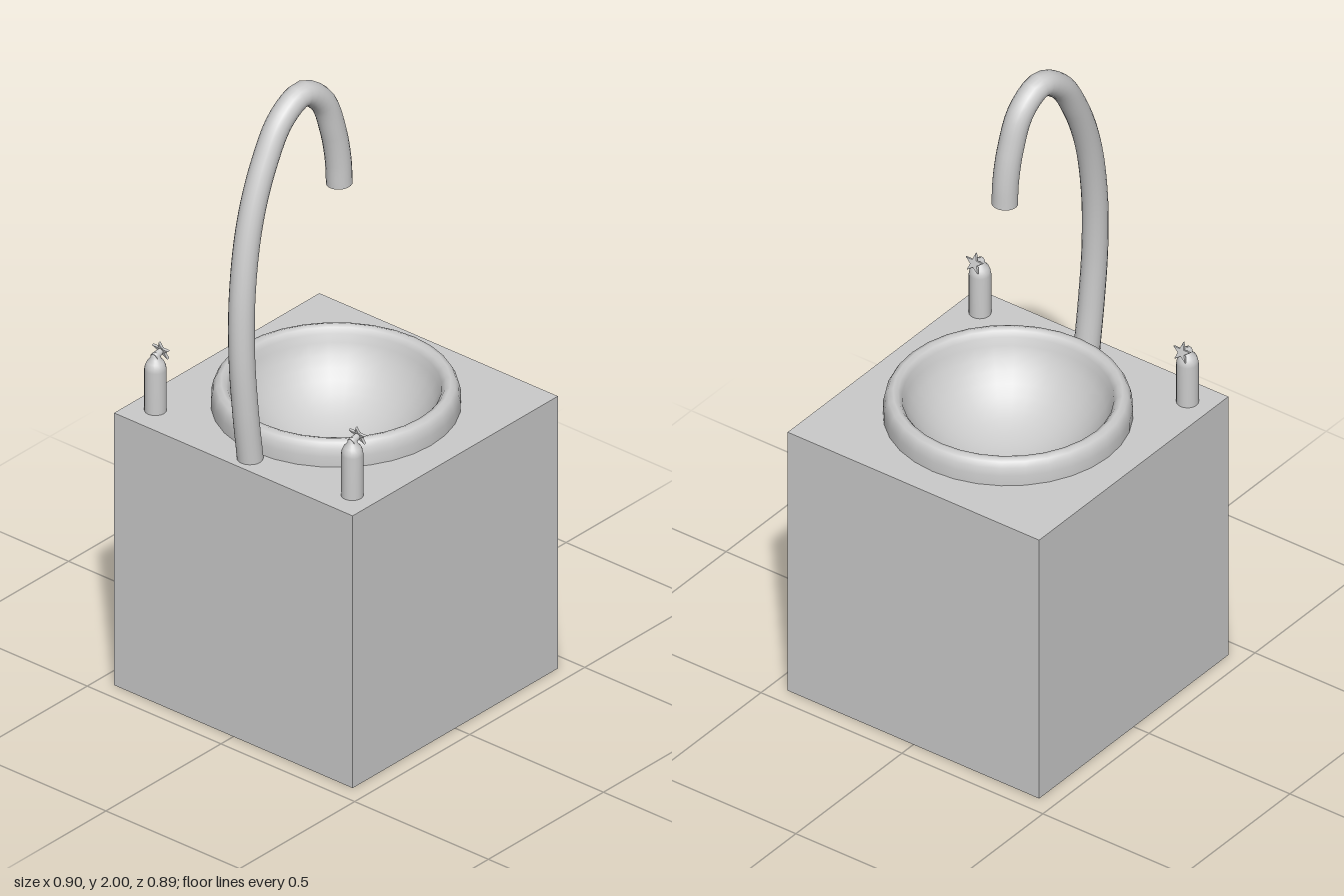
import * as THREE from 'three';

const SIZE = 0.892; // cabinet cube edge, also the counter height

export function createModel() {
  const group = new THREE.Group();
  const solid = new THREE.MeshStandardMaterial({ color: 0xcccccc });
  const thin = new THREE.MeshStandardMaterial({ color: 0xcccccc, side: THREE.DoubleSide });

  const add = (parent, name, geometry, material = solid) => {
    const mesh = new THREE.Mesh(geometry, material);
    mesh.name = name;
    parent.add(mesh);
    return mesh;
  };

  // Cabinet: a cube without its top face (the third group of six indices)
  const box = new THREE.BoxGeometry(SIZE, SIZE, SIZE);
  const index = Array.from(box.index.array);
  index.splice(12, 6);
  box.setIndex(index);
  box.clearGroups();
  add(group, 'cabinet', box, thin).position.y = SIZE / 2;

  // Countertop with a round cut-out under the basin rim
  const h = SIZE / 2;
  const top = new THREE.Shape([[-h, -h], [h, -h], [h, h], [-h, h]].map(p => new THREE.Vector2(...p)));
  top.holes.push(new THREE.Path().absarc(0, 0, 0.335, 0, Math.PI * 2, true));
  const counter = add(group, 'countertop', new THREE.ShapeGeometry(top, 32), thin);
  counter.rotation.x = -Math.PI / 2;
  counter.position.y = SIZE;

  // Basin: spherical bowl rising into a rounded rim
  const profile = [];
  for (let i = 0; i <= 10; i++) {
    const a = (i / 10) * 1.2;
    profile.push(new THREE.Vector2(0.295 * Math.sin(a) / Math.sin(1.2), 0.925 - 0.19 * (Math.cos(a) - Math.cos(1.2)) / (1 - Math.cos(1.2))));
  }
  [[0.301, 0.95], [0.312, 0.965], [0.326, 0.97], [0.341, 0.964], [0.35, 0.948], [0.355, 0.925], [0.355, SIZE]]
    .forEach(p => profile.push(new THREE.Vector2(...p)));
  add(group, 'basin', new THREE.LatheGeometry(profile, 32), thin);

  // Swan-neck spout, leaning slightly backwards in the middle
  const path = new THREE.CatmullRomCurve3([
    [-0.388, SIZE, 0.013], [-0.405, 1.06, 0.009], [-0.412, 1.24, 0.002], [-0.398, 1.44, -0.007],
    [-0.355, 1.64, -0.016], [-0.29, 1.80, -0.02], [-0.215, 1.915, -0.02], [-0.13, 1.962, -0.014],
    [-0.055, 1.91, -0.005], [-0.016, 1.80, 0.003], [0.001, 1.70, 0.007], [0.005, 1.62, 0.008],
  ].map(p => new THREE.Vector3(...p)));
  add(group, 'spout', new THREE.TubeGeometry(path, 64, 0.038, 20), thin);

  // Five-pointed handle outline
  const star = new THREE.Shape();
  for (let i = 0; i < 10; i++) {
    const r = i % 2 ? 0.012 : 0.031;
    const a = Math.PI / 2 + (i * Math.PI) / 5;
    star[i ? 'lineTo' : 'moveTo'](r * Math.cos(a), r * Math.sin(a));
  }
  star.closePath();
  const starGeometry = new THREE.ExtrudeGeometry(star, {
    depth: 0.004, bevelEnabled: true, bevelSize: 0.001, bevelThickness: 0.002, bevelSegments: 1,
  });

  // Taps: domed post, tilted stem and star handle
  const post = [[0.032, 0], [0.032, 0.135], [0.03, 0.147], [0.025, 0.159], [0.016, 0.169], [0.0125, 0.178], [0.009, 0.186], [0, 0.189]];
  for (const side of [1, -1]) {
    const tap = new THREE.Group();
    tap.name = side > 0 ? 'frontTap' : 'backTap';
    tap.position.set(-0.357, SIZE, side * 0.368);
    add(tap, 'post', new THREE.LatheGeometry(post.map(p => new THREE.Vector2(...p)), 20), thin);

    const arm = new THREE.Group();
    arm.name = 'handle';
    arm.position.set(-0.004, 0.175, 0);
    arm.rotation.z = 0.3;
    const stem = add(arm, 'stem', new THREE.CylinderGeometry(0.009, 0.013, 0.034, 12));
    stem.rotation.z = -Math.PI / 2;
    stem.position.x = 0.015;
    const handle = add(arm, 'starHandle', starGeometry);
    handle.rotation.y = Math.PI / 2;
    handle.position.x = 0.03;
    tap.add(arm);
    group.add(tap);
  }

  return group;
}
